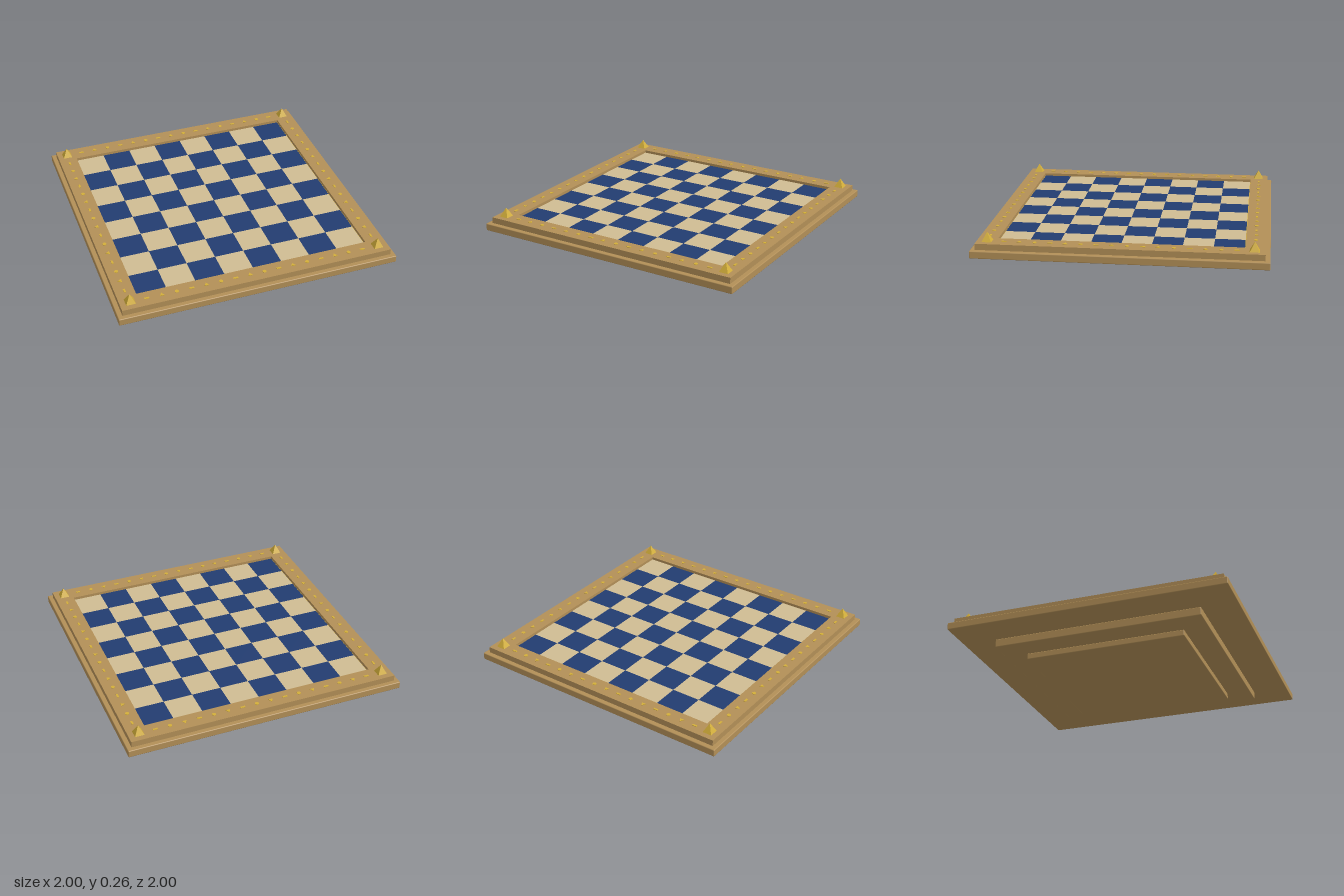
import * as THREE from 'three';
import { RoundedBoxGeometry } from 'three/addons/geometries/RoundedBoxGeometry.js';

const material = (name, color) => {
  const m = new THREE.MeshStandardMaterial({ color });
  m.name = name;
  return m;
};

export function createModel() {
  const wood = material('bronze wood', 0xb28f57);
  const cream = material('cream', 0xcfbc92);
  const navy = material('navy blue', 0x223c70);
  const gold = material('gold', 0xd2ae3a);

  const board = new THREE.Group();
  board.name = 'gameBoard';

  const add = (parent, name, geometry, mat, x = 0, y = 0, z = 0) => {
    const mesh = new THREE.Mesh(geometry, mat);
    mesh.name = name;
    mesh.position.set(x, y, z);
    parent.add(mesh);
    return mesh;
  };

  // Stepped base and rim, softly rounded: [name, half width, bottom, top]
  const tiers = [
    ['foot', 0.58, 0, 0.045],
    ['lowerStep', 0.75, 0.045, 0.105],
    ['rim', 1, 0.105, 0.157],
  ];
  for (const [name, half, y0, y1] of tiers) {
    add(board, name, new RoundedBoxGeometry(half * 2, y1 - y0, half * 2, 2, 0.006), wood, 0, (y0 + y1) / 2);
  }

  // Raised square border around the sunken playing field
  const field = 0.83, inner = 0.834, outer = 0.967, top = 0.2;
  const square = (shape, h) =>
    shape.moveTo(-h, -h).lineTo(h, -h).lineTo(h, h).lineTo(-h, h).closePath();
  const border = square(new THREE.Shape(), outer);
  border.holes.push(square(new THREE.Path(), inner));
  const borderGeometry = new THREE.ExtrudeGeometry(border, { depth: top - 0.156, bevelEnabled: false });
  borderGeometry.rotateX(-Math.PI / 2);
  add(board, 'border', borderGeometry, wood, 0, 0.156);

  // Gold bed that shows as a fine line around the squares
  add(board, 'goldInlay', new THREE.BoxGeometry(inner * 2, 0.021, inner * 2), gold, 0, 0.1675);

  // Eight by eight chequered squares
  const squares = new THREE.Group();
  squares.name = 'squares';
  board.add(squares);
  const cell = field / 4;
  const cellGeometry = new THREE.BoxGeometry(cell, 0.006, cell);
  for (let row = 0; row < 8; row++) {
    for (let col = 0; col < 8; col++) {
      const light = (row + col) % 2 === 0;
      add(squares, light ? 'lightSquare' : 'darkSquare', cellGeometry, light ? cream : navy,
        (col - 3.5) * cell, 0.179, (row - 3.5) * cell);
    }
  }

  // Pyramid studs at the corners
  const stud = new THREE.ConeGeometry(0.033 * Math.SQRT2, 0.064, 4, 1).toNonIndexed();
  stud.rotateY(Math.PI / 4);
  stud.computeVertexNormals();
  for (const x of [-0.895, 0.895]) {
    for (const z of [-0.895, 0.895]) add(board, 'cornerStud', stud, gold, x, top + 0.032, z);
  }

  // Repeating dash, triangle and dot inlays along all four sides
  const thin = 0.004;
  const triangle = new THREE.CylinderGeometry(0.019, 0.019, thin, 3);
  triangle.rotateY(Math.PI);
  const marks = [
    ['dash', new THREE.BoxGeometry(0.034, thin, 0.014)],
    ['triangle', triangle],
    ['dot', new THREE.CylinderGeometry(0.014, 0.014, thin, 12)],
  ];
  for (const turn of [0, 1]) {
    const pair = new THREE.Group();
    pair.name = turn ? 'sideInlays' : 'frontAndBackInlays';
    pair.rotation.y = turn * Math.PI / 2;
    board.add(pair);
    for (const z of [-0.9, 0.9]) {
      for (let i = 0; i < 16; i++) {
        const [name, geometry] = marks[i % 3];
        add(pair, name, geometry, gold, (i - 7.5) * 0.104, top + thin / 2 - 0.0005, z);
      }
    }
  }

  return board;
}
